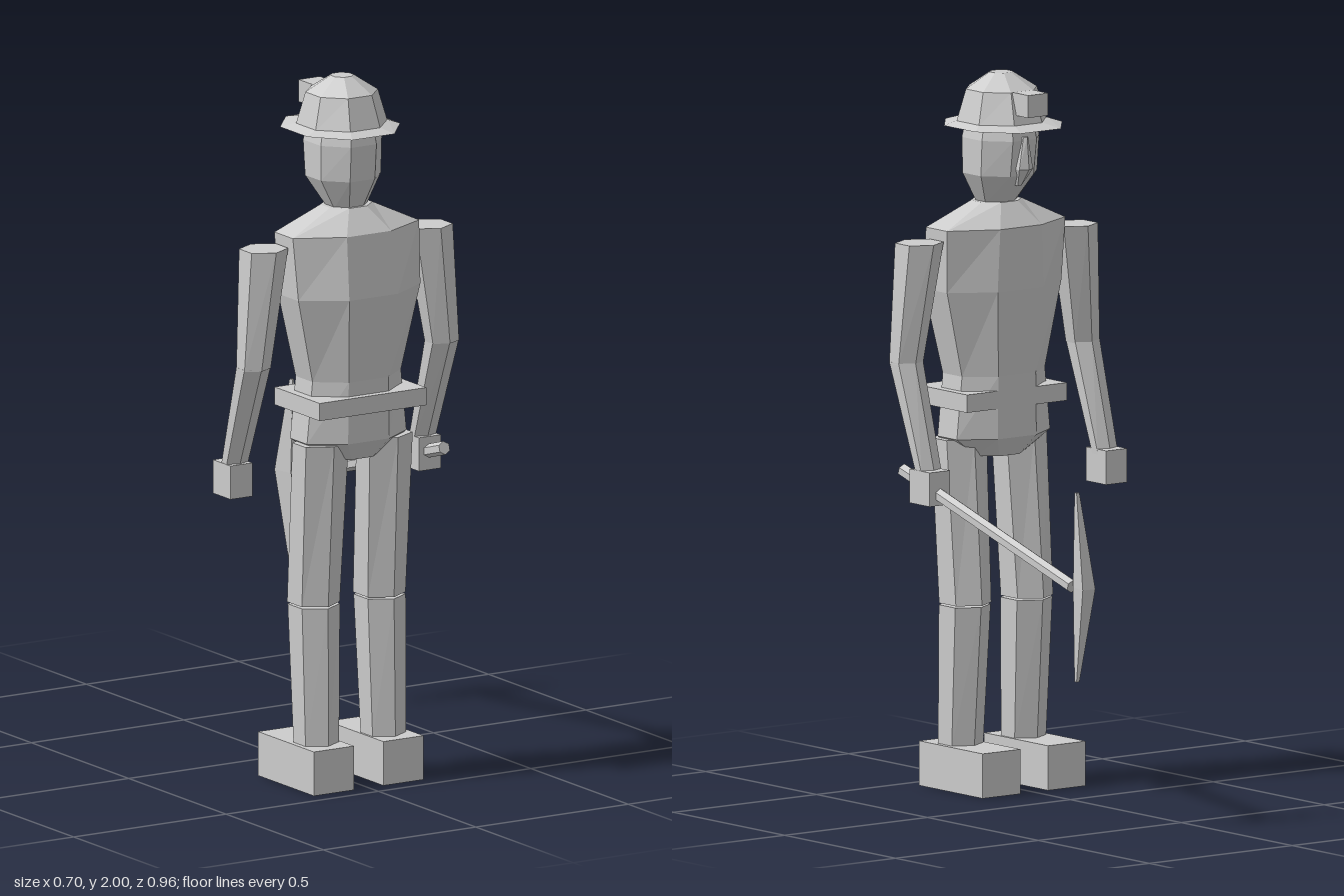
import * as THREE from 'three';

const grey = new THREE.MeshStandardMaterial({ color: 0xcccccc });
grey.name = 'plain grey';

// Closed faceted solid through rings of [x, y, z], listed from bottom to top
function loft(rings) {
  const n = rings[0].length, pos = [];
  const tri = (a, b, c) => pos.push(...a, ...b, ...c);
  for (let r = 0; r < rings.length - 1; r++) {
    const lo = rings[r], hi = rings[r + 1];
    for (let i = 0; i < n; i++) {
      const j = (i + 1) % n;
      tri(lo[i], lo[j], hi[j]);
      tri(lo[i], hi[j], hi[i]);
    }
  }
  const bottom = rings[0], top = rings[rings.length - 1];
  for (let i = 1; i < n - 1; i++) {
    tri(bottom[0], bottom[i + 1], bottom[i]);
    tri(top[0], top[i], top[i + 1]);
  }
  const g = new THREE.BufferGeometry();
  g.setAttribute('position', new THREE.Float32BufferAttribute(pos, 3));
  g.computeVertexNormals();
  return g;
}

// Eight-sided ring with flat sides: half width w, half depth d
function oct(y, w, d, cz, k = 0.414) {
  const a = w * k, b = d * 0.414;
  return [[a, d], [w, b], [w, -b], [a, -d], [-a, -d], [-w, -b], [-w, b], [-a, d]]
    .map(([x, z]) => [x, y, cz + z]);
}

// Six-sided limb ring with points to the front and back
function hex(cx, y, cz, w, d) {
  return [[0, d], [w, d / 2], [w, -d / 2], [0, -d], [-w, -d / 2], [-w, d / 2]]
    .map(([x, z]) => [cx + x, y, cz + z]);
}

export function createModel() {
  const model = new THREE.Group();
  model.name = 'miner';

  const add = (name, geometry) => {
    const m = new THREE.Mesh(geometry, grey);
    m.name = name;
    model.add(m);
    return m;
  };
  // Box from its limits on each axis
  const box = (name, x0, x1, y0, y1, z0, z1) =>
    add(name, new THREE.BoxGeometry(x1 - x0, y1 - y0, z1 - z0))
      .position.set((x0 + x1) / 2, (y0 + y1) / 2, (z0 + z1) / 2);

  // Torso and belt
  add('torso', loft([
    oct(0.93, 0.085, 0.07, 0.345),
    oct(0.985, 0.163, 0.105, 0.345),
    oct(1.16, 0.145, 0.105, 0.345, 0.45),
    oct(1.40, 0.2, 0.126, 0.35, 0.4),
    oct(1.575, 0.207, 0.115, 0.337, 0.35),
    oct(1.64, 0.07, 0.06, 0.335),
  ]));
  box('belt', -0.175, 0.175, 1.07, 1.12, 0.24, 0.472);

  // Head and nose
  add('head', loft([
    oct(1.635, 0.053, 0.05, 0.335),
    oct(1.72, 0.098, 0.1, 0.318),
    oct(1.82, 0.1, 0.11, 0.315),
    oct(1.87, 0.09, 0.1, 0.315),
  ]));
  add('nose', loft([
    hex(0, 1.69, 0.235, 0.006, 0.012),
    hex(0, 1.74, 0.212, 0.024, 0.026),
    hex(0, 1.83, 0.208, 0.008, 0.014),
  ]));

  // Helmet with brim and lamp
  add('helmetBrim', loft([oct(1.855, 0.152, 0.17, 0.303, 0.46), oct(1.867, 0.12, 0.125, 0.31)]));
  add('helmetCrown', loft([
    oct(1.865, 0.118, 0.122, 0.311),
    oct(1.955, 0.094, 0.094, 0.311),
    oct(2.0, 0.03, 0.03, 0.313),
  ]));
  box('helmetLamp', -0.035, 0.035, 1.894, 1.957, 0.145, 0.215);

  // Arms and legs, mirrored
  for (const s of [-1, 1]) {
    const side = s > 0 ? 'left' : 'right';
    add(side + 'UpperArm', loft([
      hex(s * 0.309, 1.21, 0.342, 0.043, 0.042),
      hex(s * 0.27, 1.545, 0.333, 0.06, 0.065),
    ]));
    add(side + 'Forearm', loft([
      hex(s * 0.308, 0.91, 0.24, 0.035, 0.026),
      hex(s * 0.309, 1.215, 0.342, 0.043, 0.042),
    ]));
    const hx = s * 0.309;
    box(side + 'Hand', hx - 0.036, hx + 0.036, 0.83, 0.925, 0.19, 0.28);

    add(side + 'Thigh', loft([
      hex(s * 0.108, 0.52, 0.335, 0.062, 0.076),
      hex(s * 0.105, 0.98, 0.367, 0.07, 0.07),
    ]));
    add(side + 'Shin', loft([
      hex(s * 0.11, 0.12, 0.353, 0.055, 0.062),
      hex(s * 0.108, 0.515, 0.337, 0.062, 0.074),
    ]));
    const fx = s * 0.114;
    box(side + 'Boot', fx - 0.066, fx + 0.066, 0, 0.125, 0.163, 0.45);
  }

  // Pickaxe handle, held in the hand
  const start = new THREE.Vector3(0.307, 0.908, 0.358);
  const end = new THREE.Vector3(0.307, 0.68, -0.405);
  const handle = add('pickHandle',
    new THREE.CylinderGeometry(0.019, 0.019, start.distanceTo(end), 6).toNonIndexed());
  handle.geometry.computeVertexNormals();
  handle.position.copy(start).add(end).multiplyScalar(0.5);
  handle.quaternion.setFromUnitVectors(
    new THREE.Vector3(0, 1, 0), end.clone().sub(start).normalize());

  // Pickaxe head, tapering to a point at both ends
  const blade = (y, inner, outer, depth) => [
    [0.307 + inner, y, -0.418], [0.307 + outer, y, -0.418 - depth],
    [0.307 - outer, y, -0.418 - depth], [0.307 - inner, y, -0.418],
  ];
  add('pickHead', loft([
    blade(0.415, 0.003, 0.005, 0.012),
    blade(0.68, 0.008, 0.022, 0.062),
    blade(0.945, 0.003, 0.005, 0.012),
  ]));

  return model;
}
